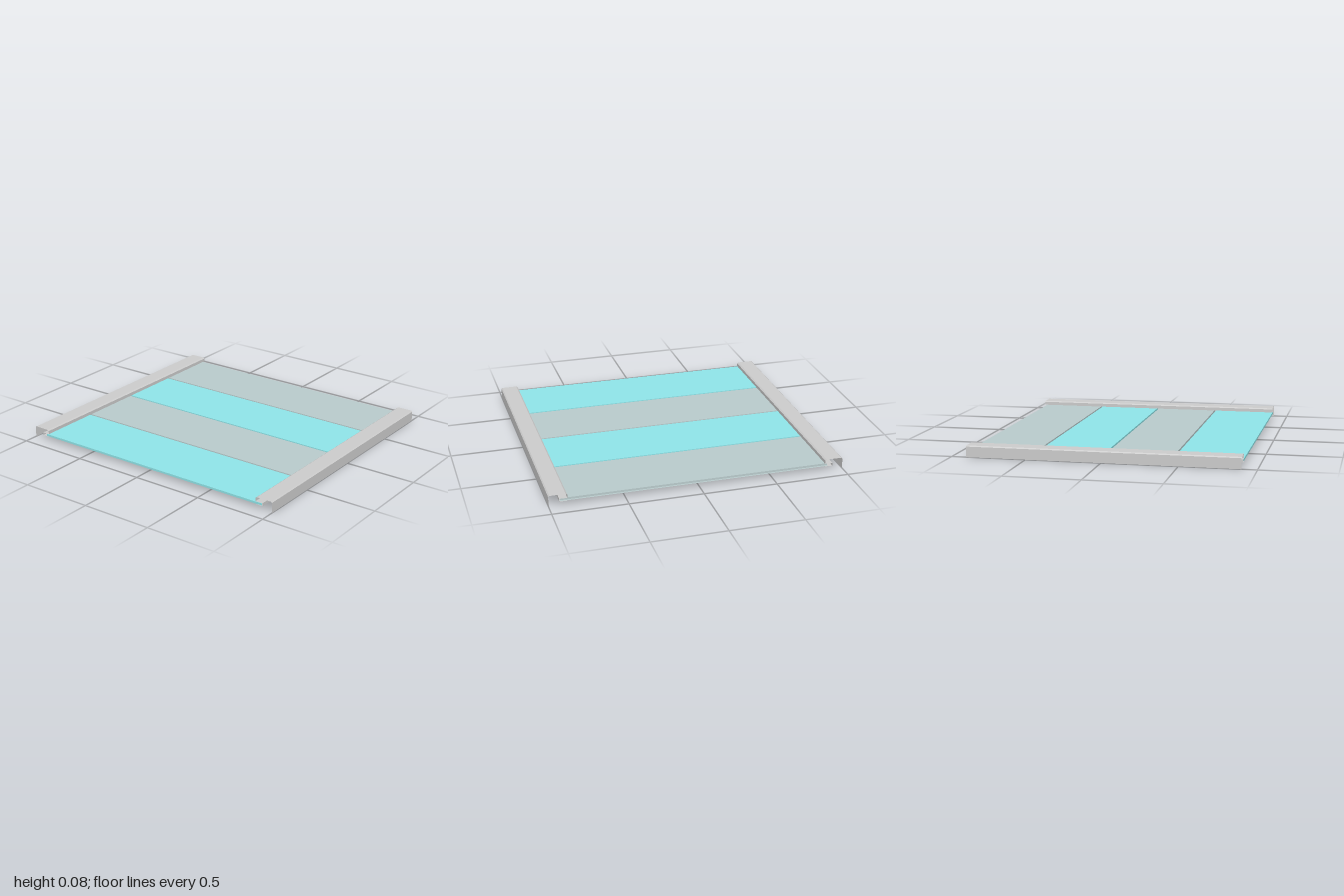
import * as THREE from 'three';

// Thin folded sheet: profile points [a, y] swept between two positions on the other axis
function foldedSheet(name, profile, from, to, along, color) {
  const pos = [];
  const put = (a, y, t) => (along === 'x' ? pos.push(t, y, a) : pos.push(a, y, t));
  for (let i = 0; i < profile.length - 1; i++) {
    const [a, y] = profile[i];
    const [b, w] = profile[i + 1];
    put(a, y, from); put(a, y, to); put(b, w, to);
    put(a, y, from); put(b, w, to); put(b, w, from);
  }
  const geo = new THREE.BufferGeometry();
  geo.setAttribute('position', new THREE.Float32BufferAttribute(pos, 3));
  geo.computeVertexNormals();
  const mat = new THREE.MeshStandardMaterial({ color, side: THREE.DoubleSide });
  const mesh = new THREE.Mesh(geo, mat);
  mesh.name = name;
  return mesh;
}

export function createModel() {
  const model = new THREE.Group();
  model.name = 'slattedPanel';

  // Edge rails: outer skirt, bevelled top, inner lip and a slot holding the slats
  const rail = [[1, 0], [1, 0.07], [0.992, 0.077], [0.887, 0.077], [0.877, 0.07],
    [0.877, 0.047], [0.93, 0.047], [0.93, 0.027], [0.877, 0.027]];
  const mirrored = rail.map(([z, y]) => [-z, y]).reverse();
  // reversed orders keep the sheet fronts on the outside
  model.add(foldedSheet('frontRail', [...rail].reverse(), -0.9, 0.9, 'x', 0xcccccc));
  model.add(foldedSheet('backRail', [...mirrored].reverse(), -0.9, 0.9, 'x', 0xcccccc));

  // Four slats in alternating colours, each with a folded lip under its neighbour
  const pitch = 0.45;
  for (let i = 0; i < 4; i++) {
    const x = -0.9 + i * pitch;
    const slat = [[x, 0.03], [x, 0.044], [x + 0.437, 0.044], [x + 0.437, 0.03], [x + pitch, 0.03]];
    const color = i % 2 === 0 ? 0x8fe4e8 : 0xb9cbcc;
    model.add(foldedSheet(`slat${i + 1}`, [...slat].reverse(), -0.895, 0.925, 'z', color));
  }
  return model;
}
